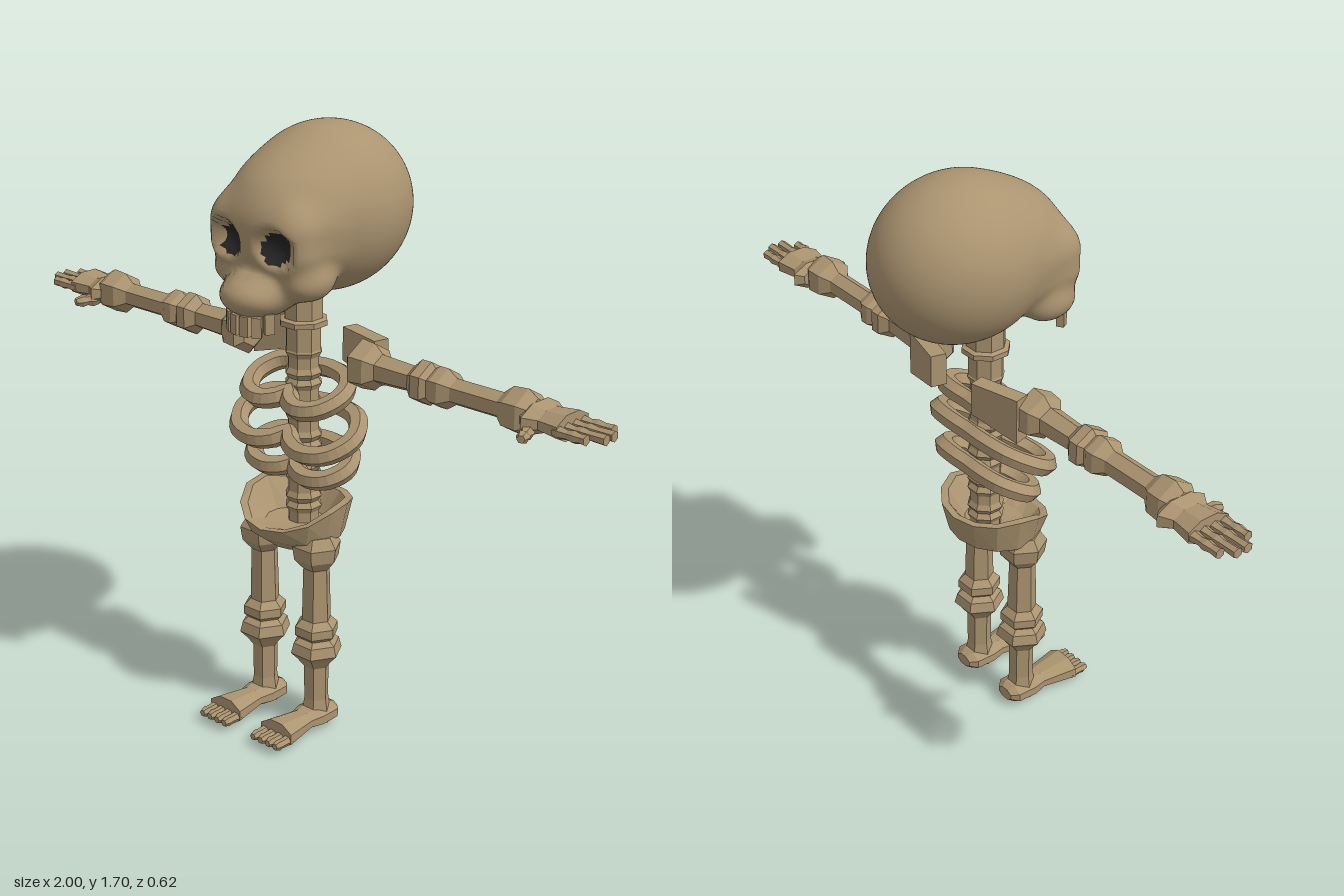
import * as THREE from 'three';
import { mergeVertices } from 'three/addons/utils/BufferGeometryUtils.js';

const V = (x, y, z) => new THREE.Vector3(x, y, z);
const CX = 0.016; // body midline

export function createModel() {
  const root = new THREE.Group();
  const bone = new THREE.MeshStandardMaterial({ color: 0xab9470 });
  bone.name = 'bone';
  const dark = new THREE.MeshStandardMaterial({ color: 0x242424 });
  dark.name = 'socketDark';

  const add = (name, geo, x = 0, y = 0, z = 0, parent = root) => {
    const m = new THREE.Mesh(geo, bone);
    m.name = name;
    m.position.set(x, y, z);
    parent.add(m);
    return m;
  };
  // Faceted normals for the low-poly parts
  const flat = (geo) => {
    const g = geo.index ? geo.toNonIndexed() : geo;
    g.computeVertexNormals();
    return g;
  };
  // Faceted turned bone; profile is [radius, height] from bottom to top
  const turned = (profile, sides = 6) => {
    const pts = [[0, profile[0][1]], ...profile, [0, profile[profile.length - 1][1]]];
    return flat(new THREE.LatheGeometry(pts.map(([r, y]) => new THREE.Vector2(r, y)), sides, Math.PI / sides));
  };

  // ---------- Skull: blended volumes traced outward from one centre ----------
  const ellipsoid = (p, c, r) => {
    const d = p.clone().sub(c);
    const k0 = d.clone().divide(r).length();
    const k1 = d.divide(r).divide(r).length();
    return k1 < 1e-6 ? -Math.min(r.x, r.y, r.z) : (k0 * (k0 - 1)) / k1;
  };
  const roundBox = (p, c, h, r) => {
    const q = V(Math.abs(p.x - c.x), Math.abs(p.y - c.y), Math.abs(p.z - c.z)).sub(h).addScalar(r);
    return V(Math.max(q.x, 0), Math.max(q.y, 0), Math.max(q.z, 0)).length()
      + Math.min(Math.max(q.x, q.y, q.z), 0) - r;
  };
  const blend = (a, b, k) => Math.min(a, b) - (Math.max(k - Math.abs(a - b), 0) ** 2) / (4 * k);
  const carve = (a, b, k) => -blend(-a, b, k);
  const skullField = (p0) => {
    const p = V(Math.abs(p0.x), p0.y, p0.z);
    let d = ellipsoid(p, V(0, 1.48, -0.06), V(0.218, 0.228, 0.25));
    d = blend(d, ellipsoid(p, V(0, 1.5, 0.06), V(0.18, 0.15, 0.18)), 0.04);
    d = blend(d, roundBox(p, V(0, 1.445, 0.13), V(0.175, 0.1, 0.115), 0.075), 0.04);
    d = blend(d, ellipsoid(p, V(0.125, 1.34, 0.14), V(0.055, 0.055, 0.08)), 0.03);
    d = blend(d, ellipsoid(p, V(0, 1.295, 0.2), V(0.1, 0.062, 0.108)), 0.05);
    d = carve(d, ellipsoid(p, V(0.088, 1.43, 0.255), V(0.06, 0.056, 0.06)), 0.015);
    return carve(d, ellipsoid(p, V(0, 1.375, 0.275), V(0.02, 0.025, 0.035)), 0.015);
  };
  const sphere = new THREE.SphereGeometry(1, 112, 80);
  sphere.deleteAttribute('uv');
  sphere.deleteAttribute('normal');
  const skullGeo = mergeVertices(sphere);
  const pos = skullGeo.attributes.position;
  const centre = V(0, 1.42, 0.02);
  const inSocket = [];
  for (let i = 0; i < pos.count; i++) {
    const dir = V(0, 0, 0).fromBufferAttribute(pos, i).normalize();
    const at = (t) => dir.clone().multiplyScalar(t).add(centre);
    let hi = 0.08;
    while (hi < 0.5 && skullField(at(hi)) < 0) hi += 0.006;
    let lo = hi - 0.006;
    for (let n = 0; n < 12; n++) {
      const mid = (lo + hi) / 2;
      if (skullField(at(mid)) < 0) lo = mid; else hi = mid;
    }
    const p = at(hi);
    pos.setXYZ(i, p.x, p.y, p.z);
    inSocket.push(p.z > 0.1 && Math.hypot((Math.abs(p.x) - 0.088) / 0.056, (p.y - 1.43) / 0.054) < 1);
  }
  // Eye sockets are the dark faces
  const faces = [[], []];
  const idx = skullGeo.index.array;
  for (let i = 0; i < idx.length; i += 3) {
    const t = [idx[i], idx[i + 1], idx[i + 2]];
    faces[t.every((v) => inSocket[v]) ? 1 : 0].push(...t);
  }
  skullGeo.setIndex([...faces[0], ...faces[1]]);
  skullGeo.addGroup(0, faces[0].length, 0);
  skullGeo.addGroup(faces[0].length, faces[1].length, 1);
  skullGeo.computeVertexNormals();
  add('skull', skullGeo, CX).material = [bone, dark];

  // Upper teeth on an arc
  for (let i = 0; i < 6; i++) {
    const a = (i - 2.5) * 0.4;
    const tooth = add('tooth', new THREE.BoxGeometry(0.026, 0.055, 0.022),
      CX + Math.sin(a) * 0.082, i % 5 ? 1.222 : 1.232, 0.195 + Math.cos(a) * 0.075);
    tooth.rotation.y = a;
  }

  // ---------- Spine ----------
  add('neck', turned([[0.05, 1.1], [0.05, 1.165], [0.068, 1.17], [0.068, 1.185], [0.055, 1.19],
    [0.055, 1.25], [0.062, 1.255], [0.062, 1.3]], 8), CX, 0, 0.03);
  for (let i = 0; i < 6; i++) {
    add('vertebra', turned([[0.043, 0], [0.053, 0.015], [0.045, 0.03], [0.045, 0.06], [0.053, 0.075], [0.043, 0.09]], 8),
      CX, 0.57 + i * 0.09, 0.03);
  }

  // ---------- Ribs: tilted heart-shaped loops, [half width, back y, front y, front z] ----------
  [[0.155, 1.035, 0.965, 0.13], [0.2, 0.935, 0.845, 0.135], [0.165, 0.825, 0.76, 0.1]].forEach(([w, yb, yf, zf]) => {
    const zb = -0.03;
    const half = [[0.35, 0], [0.8, 0.12], [1, 0.5], [0.82, 0.88], [0.45, 1], [0.15, 0.88]];
    const loop = [[0, 0.02], ...half, [0, 0.72], ...half.slice().reverse().map(([x, t]) => [-x, t])];
    const curve = new THREE.CatmullRomCurve3(
      loop.map(([x, t]) => V(x * w, yb + (yf - yb) * t, zb + (zf - zb) * t)), true);
    add('rib', flat(new THREE.TubeGeometry(curve, 48, 0.028, 6, true)), CX);
  });

  // ---------- Pelvis bowl from rings [radius factor, height or null for the rim] ----------
  const rings = [[0, 0.6], [0.55, 0.605], [0.86, null], [1, null], [0.86, 0.585], [0.5, 0.545], [0, 0.545]];
  const n = 14;
  const verts = [];
  const tris = [];
  rings.forEach(([f, h], k) => {
    for (let j = 0; j < n; j++) {
      const a = (j / n) * Math.PI * 2;
      const c = Math.cos(a);
      const rim = c > 0 ? 0.695 - 0.075 * c : 0.695 + 0.025 * c;
      verts.push(Math.sin(a) * 0.165 * f, h ?? rim, 0.06 + c * 0.145 * f);
      if (k === rings.length - 1) continue;
      const A = k * n + j, D = k * n + ((j + 1) % n);
      tris.push(A, A + n, D + n, A, D + n, D);
    }
  });
  const bowl = new THREE.BufferGeometry();
  bowl.setAttribute('position', new THREE.Float32BufferAttribute(verts, 3));
  bowl.setIndex(tris);
  add('pelvis', flat(bowl), CX);

  // ---------- Limbs, mirrored ----------
  for (const s of [1, -1]) {
    const leg = new THREE.Group();
    leg.name = s > 0 ? 'leftLeg' : 'rightLeg';
    leg.position.set(CX + s * 0.099, 0, 0.085);
    root.add(leg);
    add('thighBone', turned([[0.04, 0.28], [0.062, 0.3], [0.062, 0.325], [0.042, 0.345], [0.038, 0.5],
      [0.064, 0.53], [0.07, 0.57], [0.05, 0.6]]), 0, 0, 0, leg);
    add('shinBone', turned([[0.045, 0.03], [0.04, 0.07], [0.035, 0.1], [0.036, 0.2], [0.055, 0.225],
      [0.074, 0.245], [0.066, 0.275], [0.04, 0.295]]), 0, 0, 0, leg);
    const foot = turned([[0.03, -0.06], [0.05, -0.04], [0.052, 0.02], [0.042, 0.06], [0.062, 0.165]], 8);
    foot.rotateX(Math.PI / 2);
    foot.scale(1, 0.62, 1);
    foot.computeVertexNormals();
    add('foot', foot, 0, 0.047, 0, leg);
    for (let i = 0; i < 4; i++) {
      const toe = add('toe', turned([[0.015, 0], [0.013, 0.035], [0.015, 0.045], [0.01, 0.06]]),
        (i - 1.5) * 0.028, 0.04, 0.155, leg);
      toe.rotation.x = Math.PI / 2;
    }

    const arm = new THREE.Group();
    arm.name = s > 0 ? 'leftArm' : 'rightArm';
    arm.position.set(0, 1.095, 0.01);
    root.add(arm);
    const along = (name, profile, y = 0, z = 0, sides = 6) => {
      const m = add(name, turned(profile, sides), 0, y, z, arm);
      m.rotation.z = -s * Math.PI / 2;
      return m;
    };
    along('upperArmBone', [[0.045, 0.19], [0.07, 0.21], [0.065, 0.255], [0.042, 0.28], [0.037, 0.39],
      [0.06, 0.415], [0.06, 0.445], [0.04, 0.465]]);
    along('forearmBone', [[0.04, 0.45], [0.056, 0.475], [0.056, 0.5], [0.036, 0.53], [0.036, 0.68],
      [0.06, 0.71], [0.064, 0.755], [0.045, 0.785]]);
    const palm = along('palm', [[0.06, 0.765], [0.085, 0.785], [0.06, 0.82], [0.072, 0.885]], -0.003, -0.008, 8);
    palm.geometry.scale(0.52, 1, 1);
    palm.geometry.computeVertexNormals();
    for (let i = 0; i < 4; i++) {
      const tip = [0.975, 1, 1, 0.965][i];
      along('finger', [[0.014, 0.87], [0.017, 0.885], [0.013, 0.91], [0.017, 0.93], [0.013, 0.95], [0.015, tip]],
        -0.005, -0.056 + i * 0.034);
    }
    const thumb = add('thumb', turned([[0.016, 0], [0.02, 0.02], [0.014, 0.035], [0.018, 0.05], [0.011, 0.07]]),
      s * 0.79, -0.025, 0.04, arm);
    thumb.rotation.set(Math.PI / 2, 0, -s * 0.35);

    // Shoulder blade: box narrowing toward its lower inner corner
    const blade = new THREE.BoxGeometry(0.15, 0.13, 0.045);
    const bp = blade.attributes.position;
    for (let i = 0; i < bp.count; i++) {
      if (bp.getY(i) < 0 && bp.getX(i) * s < 0) bp.setY(i, bp.getY(i) + 0.035);
    }
    const scapula = add('shoulderBlade', flat(blade), s * 0.155 + CX * 0.5, 1.09, -0.055);
    scapula.rotation.y = -s * 0.25;
  }
  return root;
}
